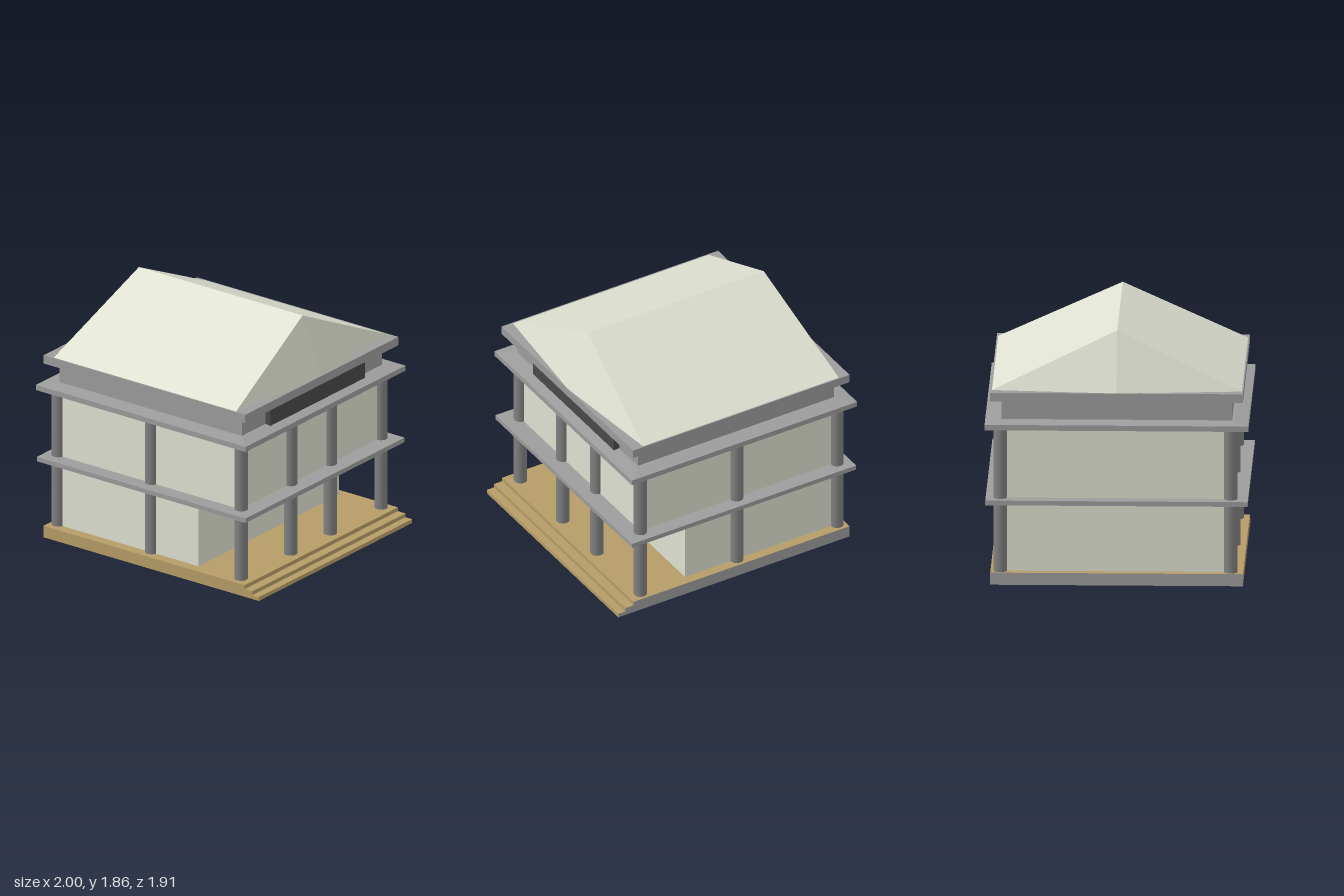
import * as THREE from 'three';
import { ConvexGeometry } from 'three/addons/geometries/ConvexGeometry.js';

const mat = (color, extra = {}) => new THREE.MeshStandardMaterial({ color, ...extra });

export function createModel() {
  const model = new THREE.Group();
  const wallMat = mat(0xdde0d0);
  const slabMat = mat(0x9c9c9c);
  const columnMat = mat(0x808080);
  const darkMat = mat(0x484848);
  const floorMat = mat(0xb59c66);
  const roofMat = mat(0xdde0d0, { flatShading: true });

  const add = (name, geometry, material) => {
    const mesh = new THREE.Mesh(geometry, material);
    mesh.name = name;
    model.add(mesh);
    return mesh;
  };
  // Box from its limits on each axis
  const box = (name, [x0, x1], [y0, y1], [z0, z1], material) =>
    add(name, new THREE.BoxGeometry(x1 - x0, y1 - y0, z1 - z0), material)
      .position.set((x0 + x1) / 2, (y0 + y1) / 2, (z0 + z1) / 2);
  const hull = (name, points, material) =>
    add(name, new ConvexGeometry(points.map((p) => new THREE.Vector3(...p))), material);

  // Plinth and entrance steps: tan, with grey left, bottom and back faces
  const baseMats = [floorMat, slabMat, floorMat, slabMat, floorMat, slabMat];
  const baseZ = [-0.915, 0.915];
  box('plinth', [-0.96, 0.87], [0, 0.09], baseZ, baseMats);
  box('upperStep', [0.87, 0.94], [0, 0.06], baseZ, baseMats);
  box('lowerStep', [0.94, 1], [0, 0.03], baseZ, baseMats);

  // Walls: the ground floor stops short to leave an open porch
  const wallZ = [-0.84, 0.835];
  box('groundFloorWalls', [-0.895, 0.39], [0.09, 0.6], wallZ, wallMat);
  box('upperFloorWalls', [-0.895, 0.77], [0.635, 1.16], wallZ, wallMat);

  // Floor slabs
  box('middleSlab', [-0.995, 0.905], [0.6, 0.635], [-0.95, 0.95], slabMat);
  box('upperSlab', [-1, 0.91], [1.16, 1.2], [-0.955, 0.955], slabMat);

  // Shallow slope on top of the upper slab
  const slope = [];
  for (const s of [-1, 1]) {
    slope.push([-1, 1.2, s * 0.955], [0.91, 1.2, s * 0.955]);
    slope.push([-0.89, 1.215, s * 0.85], [0.8, 1.215, s * 0.85]);
  }
  hull('slabSlope', slope, slabMat);

  // Columns, half sunk into the walls
  const columnGeo = new THREE.CylinderGeometry(0.049, 0.049, 1.07, 24);
  const spots = [[0.77, 0.235], [0.77, -0.24]];
  for (const x of [-0.895, -0.045, 0.77]) spots.push([x, 0.825], [x, -0.845]);
  for (const [x, z] of spots) add('column', columnGeo, columnMat).position.set(x, 0.625, z);

  // Attic band with a dark panel over the porch, and the eaves
  box('atticBand', [-0.875, 0.785], [1.2, 1.365], [-0.835, 0.835], slabMat);
  box('atticPanel', [0.785, 0.83], [1.205, 1.365], [-0.575, 0.555], darkMat);
  box('eaves', [-0.96, 0.875], [1.365, 1.43], baseZ, slabMat);

  // Roof: ridge along x, each end folded slightly outward at the middle
  const roof = [[-0.79, 1.86, 0], [0.7, 1.86, 0], [-0.96, 1.43, 0], [0.875, 1.43, 0]];
  for (const z of [-0.905, 0.905]) roof.push([-0.875, 1.43, z], [0.785, 1.43, z]);
  hull('roof', roof, roofMat);

  return model;
}
